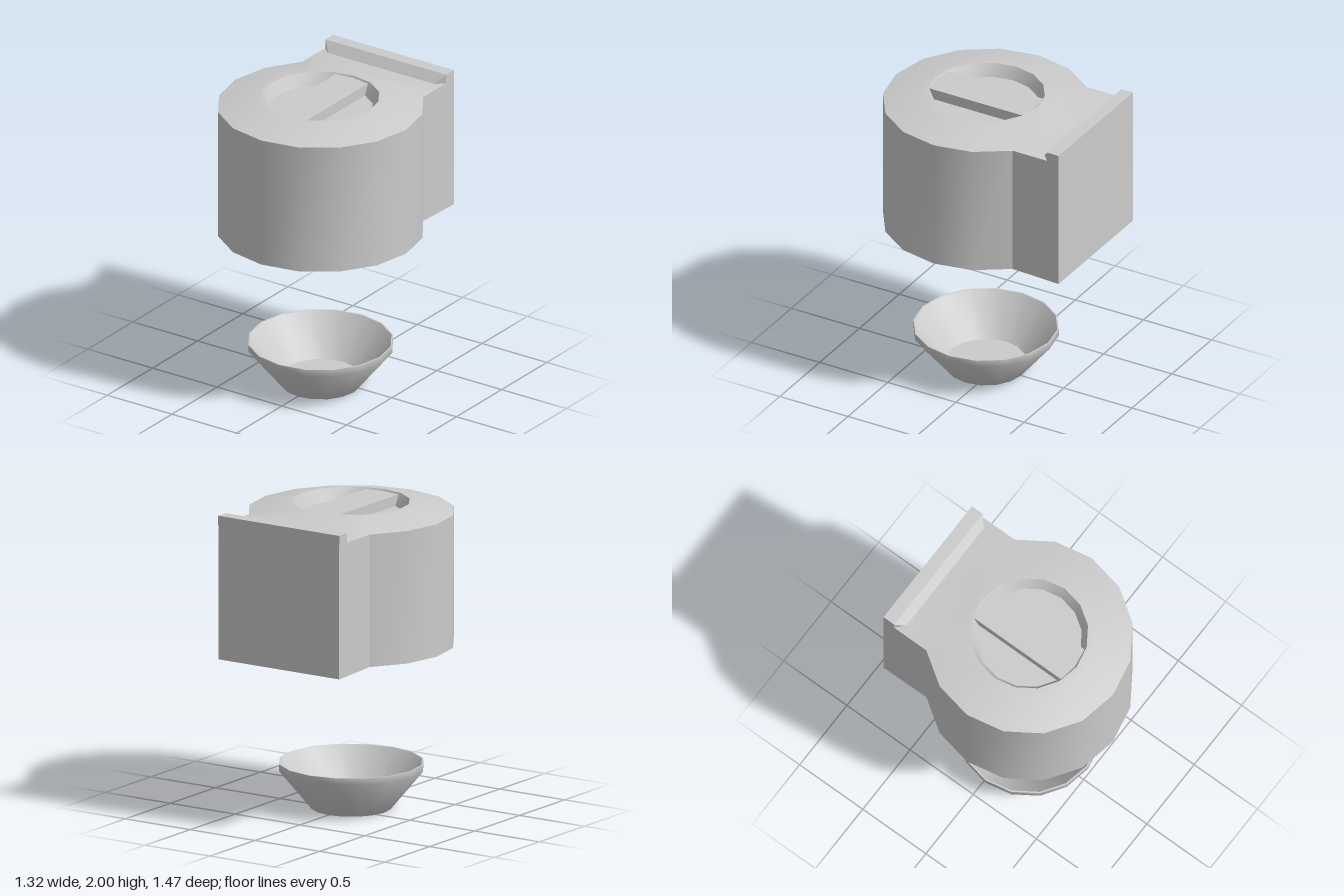
import * as THREE from 'three';
import { toCreasedNormals } from 'three/addons/utils/BufferGeometryUtils.js';
import { ConvexGeometry } from 'three/addons/geometries/ConvexGeometry.js';

const SIDES = 16;
const CZ = 0.07; // z of the round axis
const material = new THREE.MeshStandardMaterial({ color: 0xcccccc });

function addMesh(group, name, geometry) {
  const mesh = new THREE.Mesh(geometry, material);
  mesh.name = name;
  group.add(mesh);
  return mesh;
}

// Round ring of corners about the axis
function ring(r, y) {
  return Array.from({ length: SIDES }, (_, i) => {
    const a = (i / SIDES) * Math.PI * 2;
    return new THREE.Vector3(r * Math.sin(a), y, CZ + r * Math.cos(a));
  });
}

// Round outline whose three rear corners are pulled back into a square block
function outline(y, backZ, backY = y) {
  const pts = ring(0.66, y);
  const half = pts[6].x;
  [half, 0, -half].forEach((x, k) => pts[7 + k].set(x, backY, backZ));
  return pts;
}

// Joins rings in order, leaving out triangles that have no area
function loft(rings) {
  const out = [];
  const tri = (a, b, c) => {
    const area = b.clone().sub(a).cross(c.clone().sub(a)).length();
    if (area > 1e-7) for (const p of [a, b, c]) out.push(p.x, p.y, p.z);
  };
  for (let k = 0; k < rings.length - 1; k++) {
    for (let i = 0; i < SIDES; i++) {
      const j = (i + 1) % SIDES;
      tri(rings[k][i], rings[k][j], rings[k + 1][j]);
      tri(rings[k][i], rings[k + 1][j], rings[k + 1][i]);
    }
  }
  const g = new THREE.BufferGeometry();
  g.setAttribute('position', new THREE.Float32BufferAttribute(out, 3));
  return toCreasedNormals(g, 0.5);
}

export function createModel() {
  const group = new THREE.Group();
  group.name = 'model';

  // Housing: underside, walls, sloped deck, rim and round recess
  addMesh(group, 'housing', loft([
    ring(0, 1.075),
    outline(1.075, -0.735, 1.063),
    outline(1.94, -0.735),
    outline(1.94, -0.6),
    ring(0.43, 1.995),
    ring(0.375, 2),
    ring(0.335, 1.92),
    ring(0, 1.92),
  ]));

  // Grip bar across the recess, with pointed ends
  const bar = new THREE.Shape([
    [-0.125, -0.343], [0, -0.36], [0.125, -0.343],
    [0.125, 0.343], [0, 0.36], [-0.125, 0.343],
  ].map(([x, y]) => new THREE.Vector2(x, y)));
  const barGeometry = new THREE.ExtrudeGeometry(bar, { depth: 0.07, bevelEnabled: false });
  barGeometry.rotateX(-Math.PI / 2).translate(0, 1.92, CZ);
  addMesh(group, 'gripBar', barGeometry);

  // Raised lip along the back, with a slanted front and mitred ends
  const lip = [];
  for (const s of [-1, 1]) {
    for (const [x, y, z] of [
      [0.467, 1.94, -0.735], [0.467, 2, -0.735], [0.467, 2, -0.65],
      [0.467, 1.94, -0.65], [0.41, 1.94, -0.598],
    ]) lip.push(new THREE.Vector3(s * x, y, z));
  }
  addMesh(group, 'backLip', new ConvexGeometry(lip));

  // Open bowl floating below the housing
  const profile = [
    [0, 0], [0.255, 0], [0.465, 0.255], [0.465, 0.3],
    [0.455, 0.3], [0.25, 0.05], [0, 0.05],
  ].map(([r, y]) => new THREE.Vector2(r, y));
  const bowl = addMesh(group, 'bowl', toCreasedNormals(new THREE.LatheGeometry(profile, SIDES), 0.8));
  bowl.position.z = CZ;

  return group;
}
